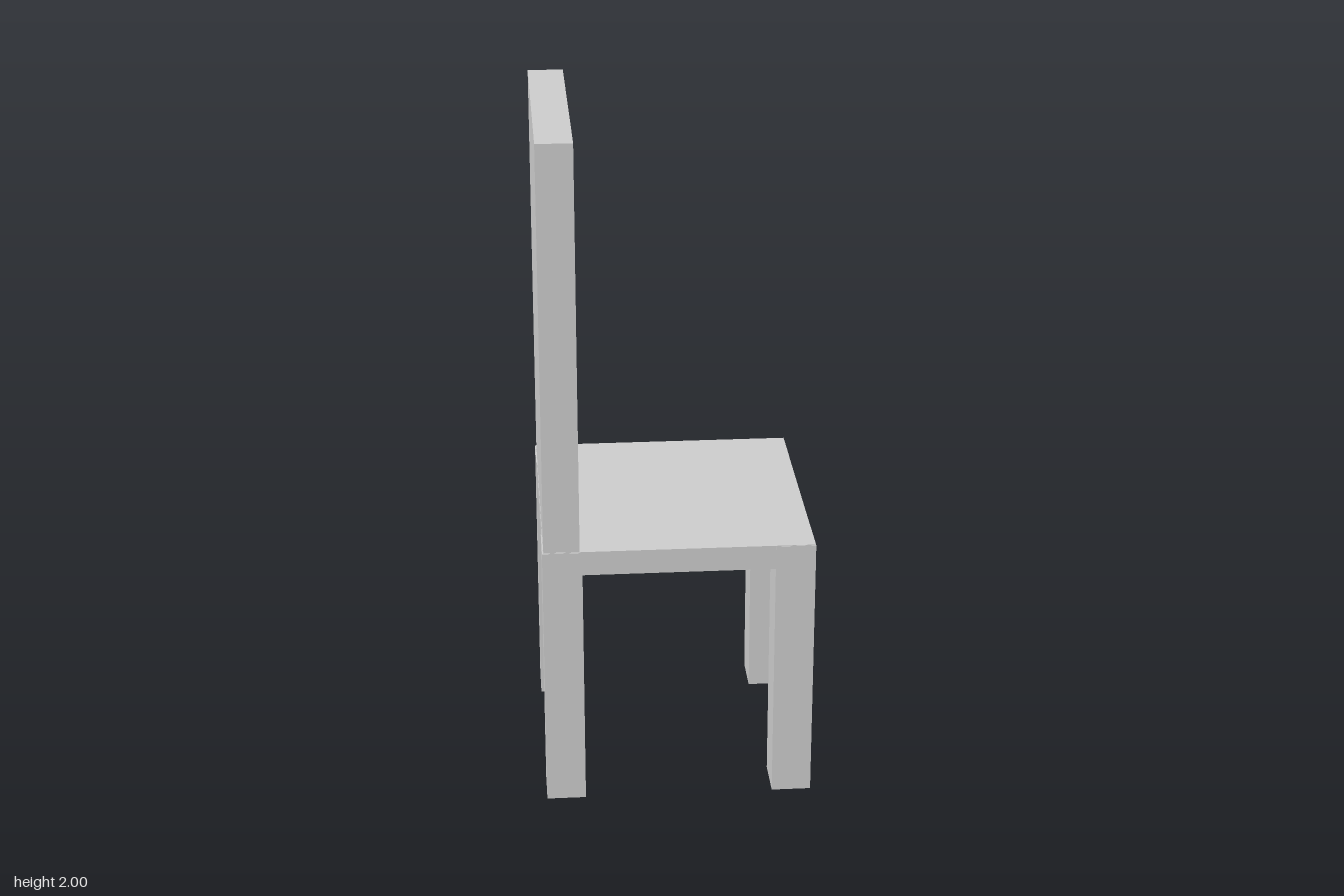
import * as THREE from 'three';

const material = new THREE.MeshStandardMaterial({ color: 0xcccccc, flatShading: true });

// Box given by its extents along each axis
function block(name, [x0, x1], [y0, y1], [z0, z1]) {
  const mesh = new THREE.Mesh(new THREE.BoxGeometry(x1 - x0, y1 - y0, z1 - z0), material);
  mesh.name = name;
  mesh.position.set((x0 + x1) / 2, (y0 + y1) / 2, (z0 + z1) / 2);
  return mesh;
}

export function createModel() {
  const chair = new THREE.Group();
  chair.name = 'chair';

  // Flat seat slab
  chair.add(block('seat', [-0.389, 0.389], [0.73, 0.803], [-0.39, 0.389]));

  // Tall backrest on the -x side; its lower end shows as a rail under the seat
  chair.add(block('backrest', [-0.388, -0.285], [0.705, 2], [-0.389, 0.387]));

  // Four square legs, the pair under the backrest and the pair under the open edge
  const pairs = { backLeg: [-0.392, -0.278], frontLeg: [0.275, 0.39] };
  for (const [name, xs] of Object.entries(pairs)) {
    for (const zs of [[-0.392, -0.258], [0.26, 0.391]]) {
      chair.add(block(name, xs, [0, 0.801], zs));
    }
  }
  return chair;
}
